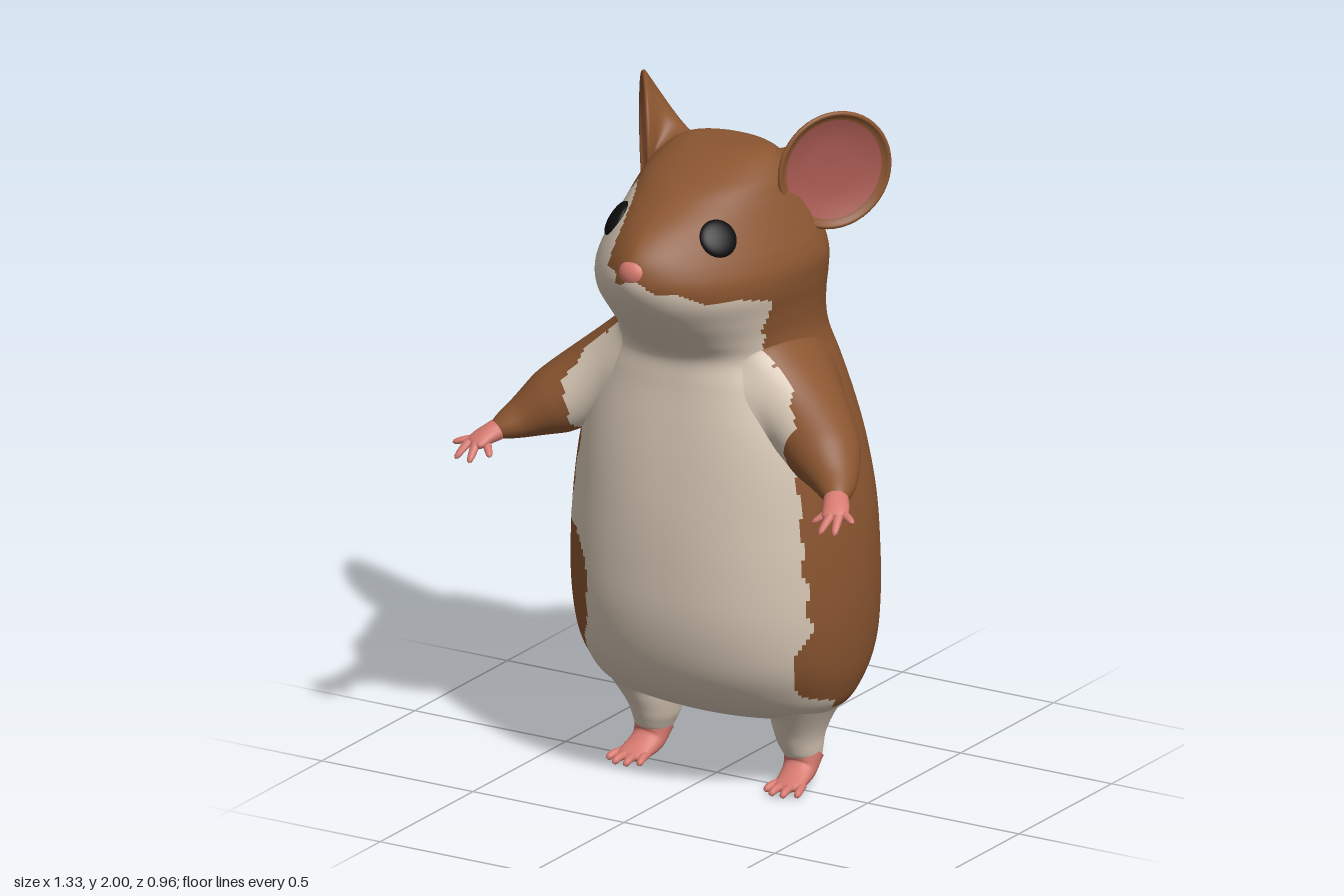
import * as THREE from 'three';

const mat = (name, color) => {
  const m = new THREE.MeshStandardMaterial({ color });
  m.name = name;
  return m;
};
const V = (x, y, z) => new THREE.Vector3(x, y, z);
const spline = pts => new THREE.CatmullRomCurve3(pts, false, 'catmullrom');

// Closed-ring surface: point(t, angle) swept over rows and columns; pick(centre, t) chooses a material
function loft(name, rows, cols, point, mats, pick = () => 0, flip = false) {
  const pts = [], faces = mats.map(() => []);
  for (let i = 0; i <= rows; i++)
    for (let j = 0; j < cols; j++) pts.push(point(i / rows, (j / cols) * Math.PI * 2));
  for (let i = 0; i < rows; i++)
    for (let j = 0; j < cols; j++) {
      const a = i * cols + j, b = i * cols + ((j + 1) % cols), c = a + cols, d = b + cols;
      const mid = V(0, 0, 0);
      for (const k of [a, b, c, d]) mid.addScaledVector(pts[k], 0.25);
      faces[pick(mid, (i + 0.5) / rows)].push(...(flip ? [a, c, b, b, c, d] : [a, b, c, b, d, c]));
    }
  const geo = new THREE.BufferGeometry().setFromPoints(pts);
  geo.setIndex(faces.flat());
  let start = 0;
  faces.forEach((f, i) => { geo.addGroup(start, f.length, i); start += f.length; });
  geo.computeVertexNormals();
  const mesh = new THREE.Mesh(geo, mats.length > 1 ? mats : mats[0]);
  mesh.name = name;
  return mesh;
}

// Grow a part out of a patch of body surface: rows before `reach` ease from the patch to the part's own ring
const CORE = V(0, 1, -0.05);
function graft(p, t, a, patch, reach) {
  if (t >= reach) return p;
  return patch(1 - (0.5 * t) / reach, a).lerp(CORE, 0.01).lerp(p, THREE.MathUtils.smoothstep(t, 0, reach));
}

// Tapered limb through stations [x, y, z, halfWidth, halfDepth], rounded shut at its end
function limb(name, stations, side, ref, mats, { pick, patch, reach = 0, rows = 10, cols = 12 } = {}) {
  const path = spline(stations.map(s => V(s[0], s[1], s[2])));
  const size = spline(stations.map(s => V(s[3], s[4], 0)));
  return loft(name, rows, cols, (t, a) => {
    const T = path.getTangent(t), r = size.getPoint(t), end = Math.sqrt(Math.max(0, 1 - t ** 14));
    const s = ref.clone().cross(T).normalize(), v = T.clone().cross(s);
    const ring = path.getPoint(t).addScaledVector(s, r.x * Math.cos(a) * end).addScaledVector(v, r.y * Math.sin(a) * end);
    const p = graft(ring, t, a, patch, reach);
    p.x *= side;
    return p;
  }, mats, pick, side < 0);
}

// Head and body cross-sections: y, half width, front z, back z, front roundness
const SECTIONS = [
  [1.885, 0, -0.05, -0.05, 2], [1.88, 0.13, 0.04, -0.13, 2], [1.83, 0.2, 0.2, -0.185, 1.85],
  [1.78, 0.232, 0.31, -0.21, 1.7], [1.73, 0.257, 0.40, -0.23, 1.6], [1.68, 0.28, 0.455, -0.245, 1.62],
  [1.63, 0.3, 0.476, -0.26, 1.72], [1.58, 0.31, 0.473, -0.27, 1.85], [1.52, 0.303, 0.44, -0.285, 2],
  [1.45, 0.29, 0.38, -0.3, 2], [1.38, 0.285, 0.305, -0.315, 2.05], [1.32, 0.295, 0.25, -0.33, 2.2],
  [1.24, 0.33, 0.252, -0.35, 2.4], [1.12, 0.378, 0.272, -0.37, 2.45], [1.0, 0.413, 0.29, -0.39, 2.35],
  [0.85, 0.44, 0.306, -0.41, 2.2], [0.7, 0.45, 0.312, -0.42, 2.2], [0.55, 0.45, 0.308, -0.427, 2.2],
  [0.42, 0.438, 0.28, -0.42, 2.2], [0.33, 0.417, 0.235, -0.36, 2.1], [0.26, 0.378, 0.165, -0.26, 2.1],
  [0.215, 0.29, 0.08, -0.19, 2], [0.195, 0.17, 0.02, -0.13, 2], [0.19, 0, -0.05, -0.05, 2],
];
const curveA = spline(SECTIONS.map(s => V(s[1], s[0], s[4])));
const curveB = spline(SECTIONS.map(s => V(s[2], s[3], 0)));
function hull(t, a) {
  const A = curveA.getPoint(t), B = curveB.getPoint(t), zc = -0.05;
  const c = Math.cos(a), s = Math.sin(a), e = 2 / (s > 0 ? A.z : 2.1);
  const x = A.x * Math.sign(c) * Math.abs(c) ** e;
  let z = zc + (s > 0 ? B.x - zc : zc - B.y) * Math.sign(s) * Math.abs(s) ** e;
  // stub of a tail
  if (s < 0) z -= 0.065 * Math.exp(-((x / 0.09) ** 2) - ((A.y - 0.4) / 0.06) ** 2);
  return V(x, A.y, z);
}
// Patches of body surface the limbs and ears grow from
const shoulder = (k, a) => hull(0.53 - 0.09 * k * Math.sin(a), 0.35 - 0.72 * k * Math.cos(a));
const earRoot = (k, a) => hull(0.152 - 0.108 * k * Math.sin(a), -0.28 - 0.66 * k * Math.cos(a));
const hip = (k, a) => hull(0.896 - 0.073 * k * Math.cos(a), 0.9 * k * Math.sin(a));

// Piecewise-linear lookup of the belly patch's half width by height
const BELLY_LEFT = [[0.27, 0.42], [0.33, 0.35], [0.42, 0.35], [0.55, 0.4], [0.9, 0.37], [1.05, 0.35], [1.17, 0.38], [1.4, 0.29]];
const BELLY_RIGHT = [[0.27, 0.4], [0.42, 0.31], [0.52, 0.285], [0.66, 0.28], [0.73, 0.34], [0.75, 0.4],
  [0.85, 0.38], [1.0, 0.35], [1.17, 0.38], [1.4, 0.29]];
function lookup(table, y) {
  for (let i = 1; i < table.length; i++) {
    const [y0, v0] = table[i - 1], [y1, v1] = table[i];
    if (y <= y1) return v0 + ((v1 - v0) * Math.max(0, y - y0)) / (y1 - y0);
  }
  return table[table.length - 1][1];
}

// Coat pattern: 0 brown, 1 cream
function coat({ x, y, z }) {
  const wobble = 0.006 * Math.sin(y * 50);
  if (y < 0.26 + 0.3 * Math.max(0, z) + 0.005 * Math.sin(z * 60)) return 1;
  if (z < 0) return y < 0.55 - 0.75 * Math.abs(x) + 0.006 * Math.sin(x * 50) ? 1 : 0;
  if (y > 0.95 && z < 0.14) return 0;
  if (y < 1.4) return Math.abs(x) < lookup(x > 0 ? BELLY_LEFT : BELLY_RIGHT, y) + wobble ? 1 : 0;
  if (z < 0.15 + wobble) return 0;
  if (y < 1.615 - 0.36 * Math.abs(x) + 0.008 * Math.sin(x * 60)) return 1;
  if (x < -0.05 && x > -0.245 && y < 1.63) return 1;
  return ((x + 0.17) / 0.075) ** 2 + ((y - 1.67) / 0.12) ** 2 < 1 ? 1 : 0;
}

export function createModel() {
  const brown = mat('brown fur', 0x8a5530), cream = mat('cream fur', 0xd8c8b6);
  const pink = mat('pink skin', 0xd67a70), earPink = mat('inner ear', 0xa85a52), black = mat('eye black', 0x0e0e0e);
  const fur = [brown, cream], model = new THREE.Group();
  model.name = 'hamster';

  model.add(loft('headAndBody', 200, 192, hull, fur, coat));

  // Nose
  const nose = new THREE.Mesh(new THREE.SphereGeometry(1, 24, 16), pink);
  nose.name = 'nose';
  nose.scale.set(0.046, 0.042, 0.034);
  nose.position.set(0, 1.63, 0.448);
  model.add(nose);

  // Find the spot on the head surface at a given height and x, for seating the eyes
  const bisect = (hi, above) => {
    let lo = 0;
    for (let i = 0; i < 40; i++) {
      const m = (lo + hi) / 2;
      if (above(m)) lo = m; else hi = m;
    }
    return lo;
  };
  const row = bisect(1, t => curveA.getPoint(t).y > 1.71);
  const angle = bisect(Math.PI / 2, a => hull(row, a).x > 0.168);
  const spot = hull(row, angle);
  const normal = hull(row, angle + 0.02).sub(spot).cross(hull(row + 0.004, angle).sub(spot)).normalize();

  const UP = V(0, 1, 0), SLANT = V(0, 1, 1);
  for (const side of [1, -1]) {
    const label = side > 0 ? 'left' : 'right';
    const add = mesh => model.add(mesh);

    // Eye
    const eye = new THREE.Mesh(new THREE.SphereGeometry(1, 28, 18), black);
    eye.name = label + 'Eye';
    eye.scale.set(0.057, 0.056, 0.018);
    eye.position.set(spot.x * side, spot.y, spot.z);
    eye.lookAt(eye.position.clone().add(V(normal.x * side, normal.y, normal.z)));
    add(eye);

    // Ear: flares out of the head to a rim around a shallow bowl; profile is [offset, scale]
    const n = V(0.82, 0, 0.57), u = V(0.57, 0, -0.82);
    const profile = spline([[-0.05, 0.8], [-0.04, 0.86], [-0.02, 0.92], [0, 0.97], [0.012, 1], [0.018, 0.95],
      [0.006, 0.84], [-0.01, 0.5], [-0.016, 0]].map(([d, s]) => V(d, s, 0)));
    add(loft(label + 'Ear', 64, 48, (t, a) => {
      const f = profile.getPoint(t), s = 0.175 * Math.max(0, f.y);
      const ring = V(0.305, 1.825, -0.13).addScaledVector(n, f.x).addScaledVector(u, s * Math.cos(a));
      ring.y += s * Math.sin(a);
      const p = graft(ring, t, a, earRoot, 0.45);
      p.x *= side;
      return p;
    }, [brown, earPink], (p, t) => (t > 0.75 ? 1 : 0), side < 0));

    // Arm, palm and fingers
    add(limb(label + 'Arm', [[0.3, 1.16, 0.05, 0.16, 0.16], [0.38, 1.115, 0.09, 0.13, 0.13], [0.45, 1.075, 0.145, 0.105, 0.098],
      [0.52, 1.03, 0.21, 0.066, 0.058], [0.575, 1.0, 0.29, 0.034, 0.028]],
      side, UP, fur, { pick: coat, patch: shoulder, reach: 0.55, rows: 56, cols: 64 }));
    add(limb(label + 'Palm', [[0.562, 1.006, 0.272, 0.036, 0.03], [0.585, 0.99, 0.31, 0.038, 0.023],
      [0.602, 0.972, 0.35, 0.038, 0.013]], side, UP, [pink], { rows: 12, cols: 16 }));
    for (const [x, y, z, bx, bz] of [[0.533, 0.953, 0.355, 0.57, 0.315], [0.58, 0.938, 0.393, 0.587, 0.34],
      [0.627, 0.942, 0.39, 0.612, 0.34], [0.663, 0.972, 0.345, 0.62, 0.32]])
      add(limb(label + 'Finger', [[bx, 0.982, bz, 0.014, 0.012], [(x + bx) / 2, (y + 0.985) / 2, (z + bz) / 2, 0.012, 0.01],
        [x, y, z, 0.008, 0.007]], side, UP, [pink]));

    // Leg, foot and toes
    add(limb(label + 'Leg', [[0.222, 0.24, -0.06, 0.135, 0.155], [0.228, 0.2, -0.06, 0.108, 0.128],
      [0.238, 0.15, -0.063, 0.074, 0.086], [0.247, 0.09, -0.066, 0.053, 0.062], [0.248, 0.06, -0.06, 0.045, 0.05]],
      side, SLANT, fur, { pick: coat, patch: hip, reach: 0.6, rows: 48, cols: 56 }));
    add(limb(label + 'Foot', [[0.247, 0.095, -0.068, 0.055, 0.063], [0.25, 0.05, -0.04, 0.05, 0.042],
      [0.256, 0.027, 0.015, 0.048, 0.024], [0.26, 0.018, 0.065, 0.047, 0.013]], side, SLANT, [pink], { rows: 20, cols: 20 }));
    for (const [x, z] of [[0.208, 0.082], [0.24, 0.105], [0.278, 0.105], [0.313, 0.082]])
      add(limb(label + 'Toe', [[0.258 + (x - 0.26) * 0.7, 0.022, z - 0.06, 0.014, 0.012],
        [0.26 + (x - 0.26) * 0.9, 0.02, z - 0.025, 0.012, 0.011], [x, 0.01, z, 0.009, 0.008]], side, SLANT, [pink]));
  }
  return model;
}
